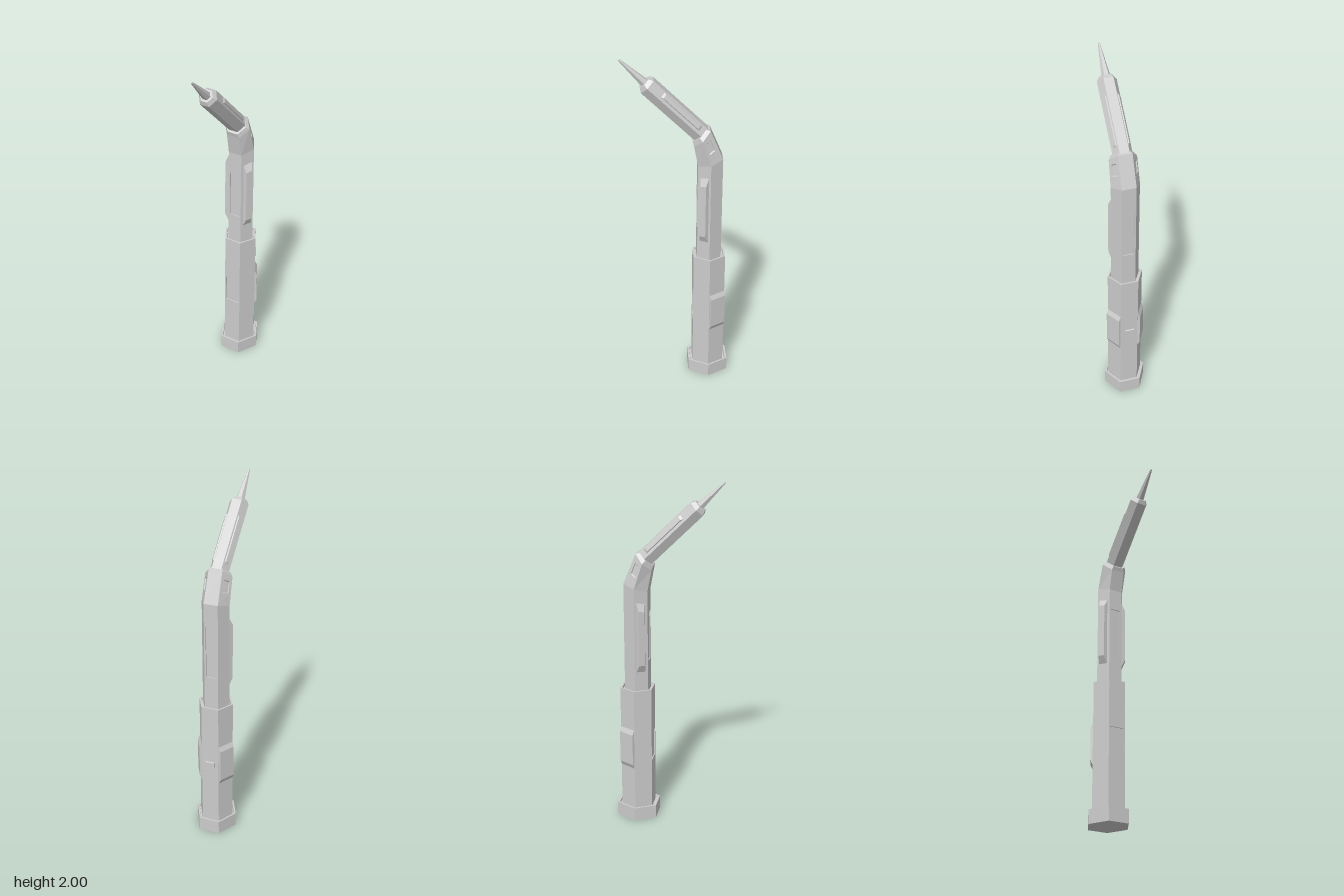
import * as THREE from 'three';

// Hexagonal cross-section, flats to front and back, tilted forward by t degrees.
// Corner order: front-left, left, back-left, back-right, right, front-right.
function ring(rx, hz, y, z, t = 0, f = rx * 0.5) {
  const a = THREE.MathUtils.degToRad(t);
  const pts = [[f, hz], [rx, 0], [f, -hz], [-f, -hz], [-rx, 0], [-f, hz]];
  return pts.map(([x, w]) => new THREE.Vector3(x, y - w * Math.sin(a), z + w * Math.cos(a)));
}

// Raised (h > 0) or sunken (h < 0) patch on a face, in face fractions
const patch = (u0, u1, v0, v1, h, bu = 0, bv = 0) => ({ u0, u1, v0, v1, h, bu, bv });
const mirrored = (p) => ({ ...p, u0: 1 - p.u1, u1: 1 - p.u0 });

// Skin a stack of rings; patches are keyed by 'segment-face'
function loft(name, rings, patches = {}) {
  const pos = [];
  const tri = (...p) => p.forEach((v) => pos.push(v.x, v.y, v.z));
  const quad = (a, b, c, d) => { tri(a, b, c); tri(a, c, d); };
  const strip = (lo, hi) => lo.forEach((p, i) => {
    const j = (i + 1) % lo.length;
    quad(p, lo[j], hi[j], hi[i]);
  });
  for (let s = 0; s < rings.length - 1; s++) {
    for (let i = 0; i < 6; i++) {
      const j = (i + 1) % 6;
      const q = [rings[s][i], rings[s][j], rings[s + 1][j], rings[s + 1][i]];
      const p = patches[s + '-' + i];
      if (!p) { quad(...q); continue; }
      const at = (u, v) => q[0].clone().lerp(q[1], u).lerp(q[3].clone().lerp(q[2], u), v);
      const n = q[1].clone().sub(q[0]).cross(q[3].clone().sub(q[0])).normalize().multiplyScalar(p.h);
      const rect = (u0, u1, v0, v1) => [at(u0, v0), at(u1, v0), at(u1, v1), at(u0, v1)];
      const rim = rect(p.u0, p.u1, p.v0, p.v1);
      const top = rect(p.u0 + p.bu, p.u1 - p.bu, p.v0 + p.bv, p.v1 - p.bv).map((v) => v.add(n));
      strip(q, rim);
      strip(rim, top);
      quad(...top);
    }
  }
  // End caps
  const first = rings[0], last = rings[rings.length - 1];
  for (let i = 1; i < 5; i++) {
    tri(first[0], first[i + 1], first[i]);
    tri(last[0], last[i], last[i + 1]);
  }
  const geo = new THREE.BufferGeometry();
  geo.setAttribute('position', new THREE.Float32BufferAttribute(pos, 3));
  geo.computeVertexNormals();
  const mesh = new THREE.Mesh(geo, new THREE.MeshStandardMaterial({ color: 0xcccccc, flatShading: true }));
  mesh.name = name;
  return mesh;
}

export function createModel() {
  const model = new THREE.Group();
  model.name = 'penTool';
  const Z = -0.185;

  // Foot with a shallow well that the handle sits in
  model.add(loft('baseCap', [
    ring(0.12, 0.115, 0, Z), ring(0.12, 0.115, 0.08, Z),
    ring(0.11, 0.104, 0.08, Z), ring(0.108, 0.102, 0.068, Z),
  ]));

  // Handle with side grips, front panel, back button and lipped top
  const grip = patch(0.02, 0.98, 0.36, 0.68, 0.013, 0.01, 0.035);
  model.add(loft('handle', [
    ring(0.1, 0.09, 0.06, Z), ring(0.1, 0.09, 0.815, Z),
    ring(0.09, 0.08, 0.815, Z), ring(0.088, 0.078, 0.8, Z),
  ], {
    '0-1': grip,
    '0-3': mirrored(grip),
    '0-5': patch(0.07, 0.93, 0.41, 0.63, -0.006),
    '0-2': patch(0.22, 0.78, 0.5, 0.54, 0.008, 0.02, 0.003),
  }));

  // Neck: straight shaft with fins and panels, bending forward into a collar
  const fin = patch(0.2, 0.85, 0.22, 0.88, 0.02, 0.1, 0.07);
  const window_ = patch(0.2, 0.72, 0.4, 0.8, -0.006, 0.03, 0.03);
  model.add(loft('neck', [
    ring(0.08, 0.0675, 0.79, -0.1825), ring(0.08, 0.07, 1.41, -0.1825, 16.5),
    ring(0.077, 0.062, 1.555, -0.136, 45), ring(0.062, 0.05, 1.57, -0.121, 45),
  ], {
    '0-0': fin,
    '0-4': mirrored(fin),
    '0-5': patch(0.12, 0.88, 0.32, 0.79, -0.006),
    '0-2': patch(0.12, 0.88, 0.32, 0.79, -0.006),
    '1-1': window_,
    '1-3': mirrored(window_),
  }));

  // Head: points along a line rising forward at 45 degrees
  const headRing = (r, d) => ring(r, r * 0.866, 2 - d * Math.SQRT1_2, 0.296 - d * Math.SQRT1_2, 45);
  const rail = patch(0.3, 0.85, 0.14, 0.8, 0.006, 0.06, 0.03);
  model.add(loft('head', [
    headRing(0.054, 0.63), headRing(0.054, 0.205), headRing(0.038, 0.183),
  ], { '0-1': rail, '0-3': mirrored(rail) }));

  // Needle tip
  model.add(loft('tip', [headRing(0.025, 0.19), headRing(0.006, 0.004), headRing(0.003, 0)]));

  return model;
}
